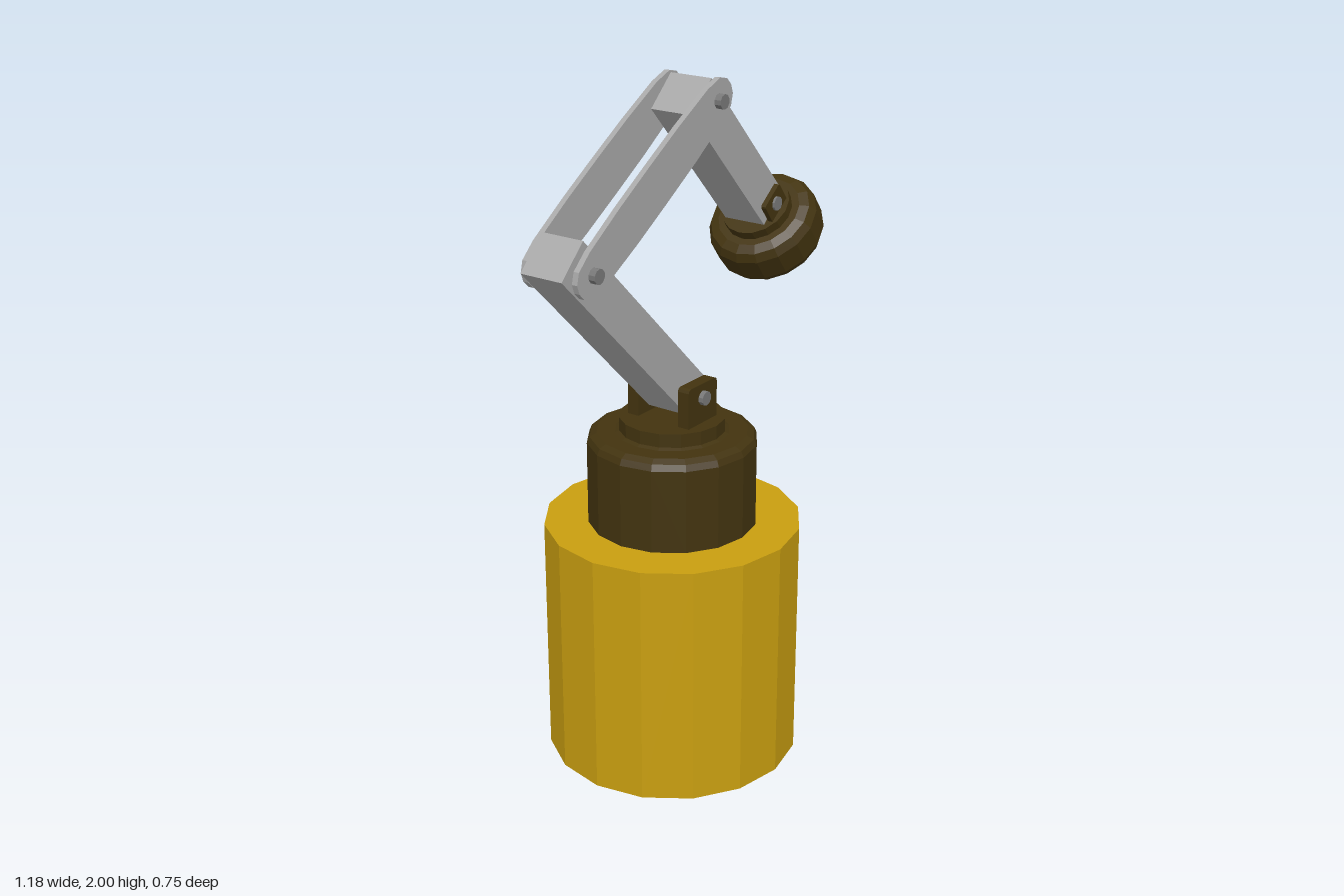
import * as THREE from 'three';

export function createModel() {
  const model = new THREE.Group();
  model.name = 'robotArm';

  const mat = (name, color, flatShading = false) => {
    const m = new THREE.MeshStandardMaterial({ color, flatShading });
    m.name = name;
    return m;
  };
  const gold = mat('gold', 0xc89e10, true);
  const dark = mat('darkBronze', 0x42330f, true);
  const grey = mat('lightGrey', 0xa8a8a8, true);
  const steel = mat('pinGrey', 0x787878, true);

  const add = (parent, name, geometry, material, x = 0, y = 0, z = 0) => {
    const mesh = new THREE.Mesh(geometry, material);
    mesh.name = name;
    mesh.position.set(x, y, z);
    parent.add(mesh);
    return mesh;
  };
  const lathe = (pts, sides = 16) =>
    new THREE.LatheGeometry(pts.map(([r, y]) => new THREE.Vector2(r, y)), sides);

  // Pin running through a joint along z
  const pin = (parent, name, x, y, halfLength, r = 0.021) => {
    add(parent, name, new THREE.CylinderGeometry(r, r, halfLength * 2, 10), steel, x, y)
      .rotation.x = Math.PI / 2;
  };

  // Two upright ears with clipped top corners, pivot at the local origin
  const bracket = (parent, name, x, y, half, bottom, top, zIn, zOut) => {
    const c = half * 0.16;
    const shape = new THREE.Shape([
      [-half, bottom], [half, bottom], [half, top - c], [half - c * 0.3, top - c * 0.3],
      [half - c, top], [c - half, top], [c * 0.3 - half, top - c * 0.3], [-half, top - c],
    ].map(p => new THREE.Vector2(...p)));
    const g = new THREE.ExtrudeGeometry(shape, { depth: zOut - zIn, bevelEnabled: false });
    for (const z of [zIn, -zOut]) add(parent, name, g, dark, x, y, z);
  };

  // Square beam given by the midpoints of its two end faces
  const beam = (name, x1, y1, x2, y2, width) => {
    const g = new THREE.BoxGeometry(Math.hypot(x2 - x1, y2 - y1), width, 0.134);
    add(model, name, g, grey, (x1 + x2) / 2, (y1 + y2) / 2)
      .rotation.z = Math.atan2(y2 - y1, x2 - x1);
  };

  // Pedestal and turntable
  const cx = -0.031;
  add(model, 'pedestal', new THREE.CylinderGeometry(0.374, 0.374, 0.725, 16), gold, cx, 0.3625);
  add(model, 'turntable', lathe([
    [0, 0.72], [0.246, 0.72], [0.246, 0.972], [0.238, 0.99], [0.218, 1.0],
    [0.165, 1.0], [0.153, 1.005], [0.153, 1.045], [0, 1.045],
  ]), dark, cx);
  bracket(model, 'shoulderBracket', cx, 1.12, 0.068, -0.08, 0.042, 0.069, 0.106);
  pin(model, 'shoulderPin', cx, 1.12, 0.12);

  // Lower arm and forearm
  beam('lowerArm', -0.008, 1.108, -0.542, 1.638, 0.124);
  beam('forearm', 0.012, 1.954, 0.37, 1.571, 0.123);

  // Pair of link plates between elbow and forearm
  const quarter = [[0.39, 0], [0.384, 0.026], [0.36, 0.049], [0.3, 0.061], [0.15, 0.067], [0, 0.068]];
  const upper = [...quarter, ...quarter.slice(0, -1).reverse().map(([x, y]) => [-x, y])];
  const lower = upper.slice(1, -1).reverse().map(([x, y]) => [x, -y]);
  const plate = new THREE.ExtrudeGeometry(
    new THREE.Shape([...upper, ...lower].map(p => new THREE.Vector2(...p))),
    { depth: 0.017, bevelEnabled: false });
  for (const z of [0.075, -0.092]) {
    add(model, 'linkPlate', plate, grey, -0.217, 1.766, z).rotation.z = Math.atan2(0.344, 0.546);
  }
  pin(model, 'elbowPin', -0.49, 1.594, 0.112);
  pin(model, 'forearmPin', 0.056, 1.938, 0.112);

  // Wrist, with its pivot at the local origin and the tool pointing down
  const wrist = new THREE.Group();
  wrist.name = 'wrist';
  wrist.position.set(0.362, 1.587, 0);
  wrist.rotation.z = 0.656;
  model.add(wrist);
  bracket(wrist, 'wristBracket', 0, 0, 0.045, -0.04, 0.035, 0.0675, 0.083);
  pin(wrist, 'wristPin', 0, 0, 0.09);
  add(wrist, 'toolHead', lathe([
    [0, -0.205], [0.095, -0.205], [0.103, -0.197], [0.125, -0.197], [0.152, -0.187],
    [0.166, -0.163], [0.166, -0.092], [0.152, -0.068], [0.125, -0.058],
    [0.103, -0.058], [0.103, -0.03], [0, -0.03],
  ]), dark);
  add(wrist, 'toolTip', new THREE.CylinderGeometry(0.025, 0.025, 0.08, 10), grey, 0, -0.22, 0);

  return model;
}
